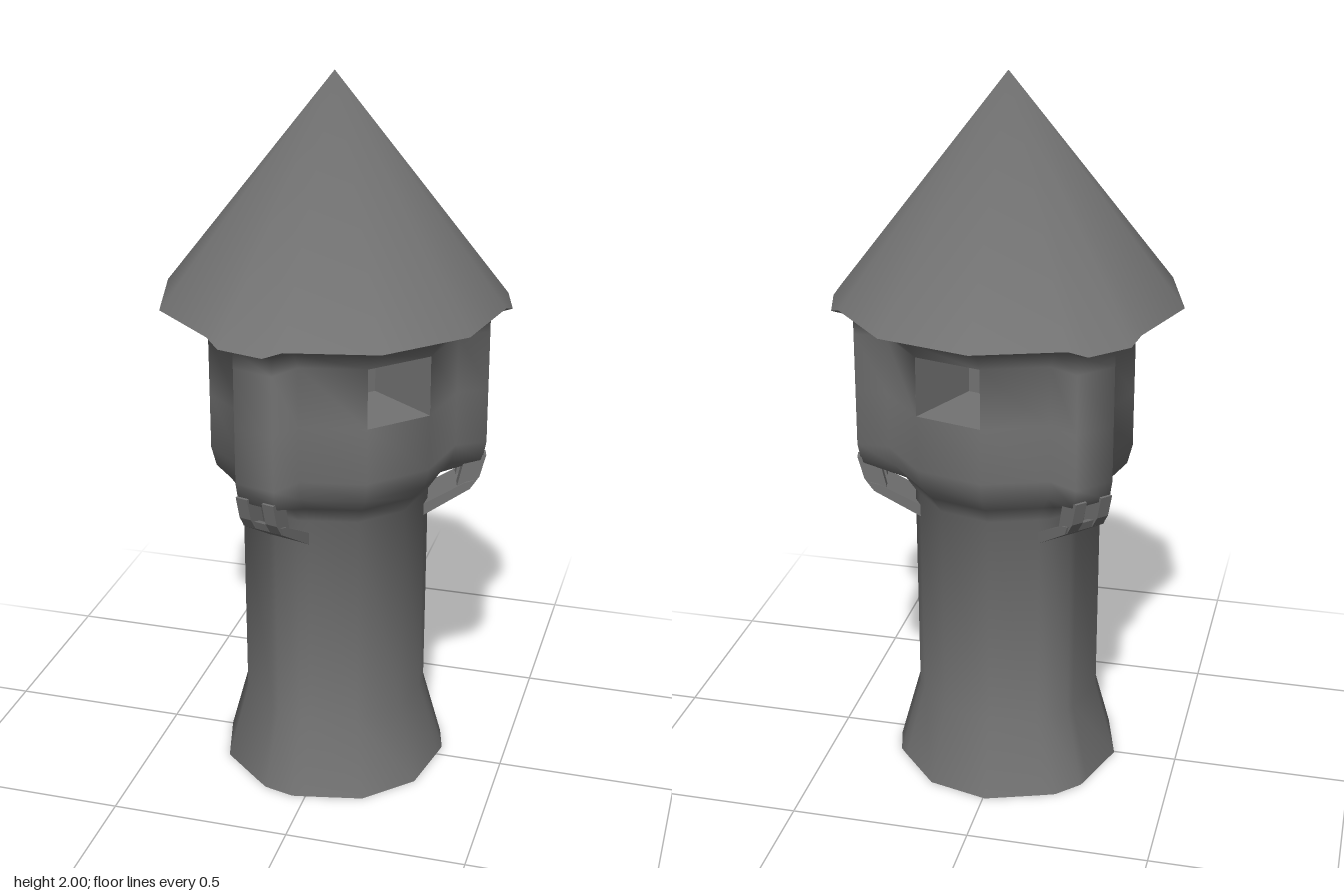
import * as THREE from 'three';
import { toCreasedNormals } from 'three/addons/utils/BufferGeometryUtils.js';

const RAD = Math.PI / 180;
const SMOOTH = Math.PI;
const FIRST_RIB = -15.5, FIRST_WINDOW = 44.7;
// Degrees from a rib direction; the pattern repeats three times round the tower
const OFFSETS = [-14, -7.9, 7.9, 14, 44.4, 76];
const material = new THREE.MeshStandardMaterial({ color: 0x737373, side: THREE.DoubleSide });

function ring([y, r, ribR = r, ribY = y]) {
  const points = [];
  for (let k = 0; k < 3; k++) {
    OFFSETS.forEach((o, i) => {
      const a = (FIRST_RIB + k * 120 + o) * RAD;
      const onRib = i === 1 || i === 2;
      const radius = onRib ? ribR : i === 0 || i === 3 ? r * 0.974 : r;
      points.push([Math.cos(a) * radius, onRib ? ribY : y, Math.sin(a) * radius]);
    });
  }
  return points;
}

// Joins closed rings of points, listed from bottom to top; skip leaves openings
function loft(name, rings, crease, skip = () => false) {
  const pos = [];
  const tri = (...corners) => {
    const [a, b, c] = corners.map((p) => new THREE.Vector3(...p));
    if (b.clone().sub(a).cross(c.clone().sub(a)).length() > 1e-8) corners.forEach((p) => pos.push(...p));
  };
  for (let j = 0; j < rings.length - 1; j++) {
    const n = rings[j].length;
    for (let i = 0; i < n; i++) {
      if (skip(j, i)) continue;
      const k = (i + 1) % n;
      const a = rings[j][i], b = rings[j][k], c = rings[j + 1][k], d = rings[j + 1][i];
      tri(a, d, c);
      tri(a, c, b);
    }
  }
  const geometry = new THREE.BufferGeometry();
  geometry.setAttribute('position', new THREE.Float32BufferAttribute(pos, 3));
  const mesh = new THREE.Mesh(toCreasedNormals(geometry, crease), material);
  mesh.name = name;
  return mesh;
}

// Side profile in (radius, height), given a width across and a sideways shift
function plate(name, profile, width, shift) {
  const shape = new THREE.Shape(profile.map((p) => new THREE.Vector2(...p)));
  const geometry = new THREE.ExtrudeGeometry(shape, { depth: width, bevelEnabled: false });
  geometry.translate(0, 0, shift - width / 2);
  const mesh = new THREE.Mesh(geometry, material);
  mesh.name = name;
  return mesh;
}

// Sloping chute floor under a rib, held by two prongs
function createBracket() {
  const group = new THREE.Group();
  group.name = 'bracket';
  group.add(plate('chuteFloor', [[0.24, 0.765], [0.375, 0.85], [0.385, 0.875], [0.36, 0.868], [0.24, 0.8]], 0.125, 0));
  for (const side of [-1, 1]) {
    group.add(plate('prong', [[0.335, 0.84], [0.378, 0.852], [0.4, 0.885], [0.417, 0.95], [0.36, 0.95]], 0.035, side * 0.04));
  }
  return group;
}

// Tapering recess behind a window opening
function createRecess() {
  const frame = (x, w, y0, y1) => [[x, y0, -w], [x, y0, w], [x, y1, w], [x, y1, -w]];
  const back = [0.115, 1.2275, 0];
  return loft('windowRecess', [
    frame(0.3355, 0.095, 1.145, 1.31),
    frame(0.115, 0.06, 1.145, 1.31),
    [back, back, back, back],
  ], 0.3);
}

export function createModel() {
  const tower = new THREE.Group();
  tower.name = 'tower';

  // Flared foot, shaft, ribbed head and flare under the eaves
  const bodyRows = [
    [0, 0.32], [0.22, 0.26], [0.84, 0.262], [0.89, 0.295, 0.295],
    [0.935, 0.335, 0.41], [0.99, 0.349, 0.42], [1.145, 0.349, 0.42],
    [1.31, 0.349, 0.42], [1.36, 0.385, 0.42], [1.395, 0.477, 0.477, 1.378],
  ];
  const windowRow = 6;
  const rings = bodyRows.map(ring);
  tower.add(loft('towerBody', rings, SMOOTH, (j, i) => j === windowRow && i % 6 === 4));

  // Flat underside as a fan from one rim corner
  const fan = rings[0].map(() => rings[0][0]);
  tower.add(loft('footUnderside', [fan, rings[0]], SMOOTH));

  // Pointed roof
  tower.add(loft('roof', [[1.395, 0.477, 0.477, 1.378], [2, 0]].map(ring), SMOOTH));

  for (let k = 0; k < 3; k++) {
    const bracket = createBracket();
    bracket.rotation.y = -(FIRST_RIB + k * 120) * RAD;
    const recess = createRecess();
    recess.rotation.y = -(FIRST_WINDOW + k * 120) * RAD;
    tower.add(bracket, recess);
  }
  return tower;
}
